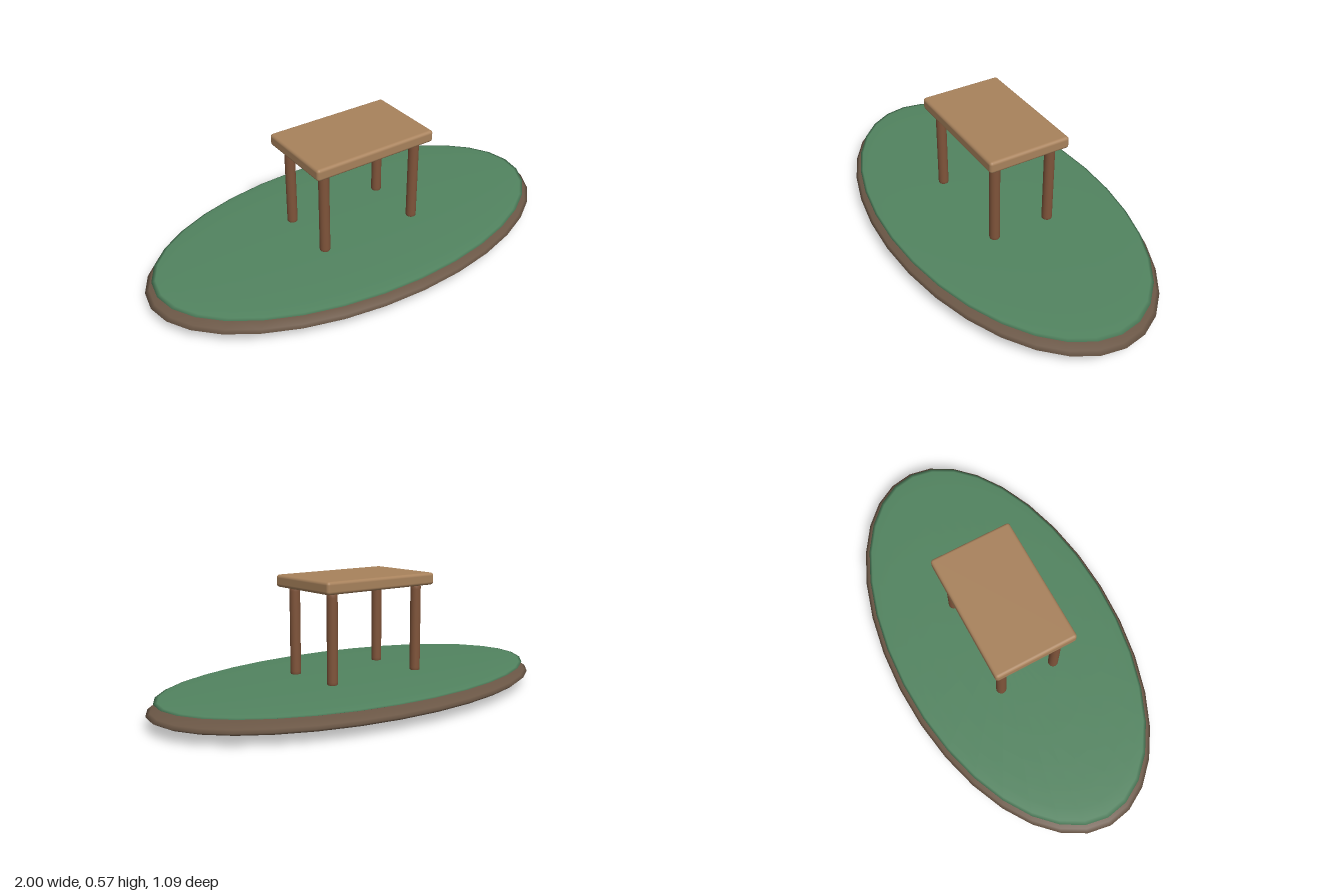
import * as THREE from 'three';
import { RoundedBoxGeometry } from 'three/addons/geometries/RoundedBoxGeometry.js';

const material = (name, color) => {
  const m = new THREE.MeshStandardMaterial({ color });
  m.name = name;
  return m;
};

export function createModel() {
  const group = new THREE.Group();
  group.name = 'tableOnIsland';

  const earth = material('earth brown', 0x6b5746);
  const grass = material('grass green', 0x528460);
  const lightWood = material('light wood', 0xa8825c);
  const darkWood = material('dark wood', 0x7f543a);

  const add = (name, geometry, mat, x, y, z) => {
    const mesh = new THREE.Mesh(geometry, mat);
    mesh.name = name;
    mesh.position.set(x, y, z);
    group.add(mesh);
  };

  // Flattened ellipsoids: earth below, grass on top
  const disc = (rx, ry, rz) => new THREE.SphereGeometry(1, 32, 16).scale(rx, ry, rz);
  add('earthBase', disc(1, 0.058, 0.545), earth, 0, 0.058, 0);
  add('grassTop', disc(0.967, 0.018, 0.522), grass, 0, 0.104, 0);

  // Table top with softened edges
  add('tableTop', new RoundedBoxGeometry(0.6, 0.055, 0.384, 3, 0.014), lightWood, 0, 0.54, 0);

  // Four round legs with bevelled ends
  const r = 0.0235, h = 0.4, b = 0.01;
  const profile = [[0, 0], [r - b, 0], [r - b * 0.3, b * 0.3], [r, b], [r, b * 2],
    [r, h - b * 2], [r, h - b], [r - b * 0.3, h - b * 0.3], [r - b, h], [0, h]]
    .map(([x, y]) => new THREE.Vector2(x, y));
  const leg = new THREE.LatheGeometry(profile, 20);
  for (const x of [-1, 1]) {
    for (const z of [-1, 1]) {
      add(`${z > 0 ? 'front' : 'back'}${x > 0 ? 'Left' : 'Right'}Leg`, leg, darkWood, x * 0.237, 0.114, z * 0.136);
    }
  }
  return group;
}
